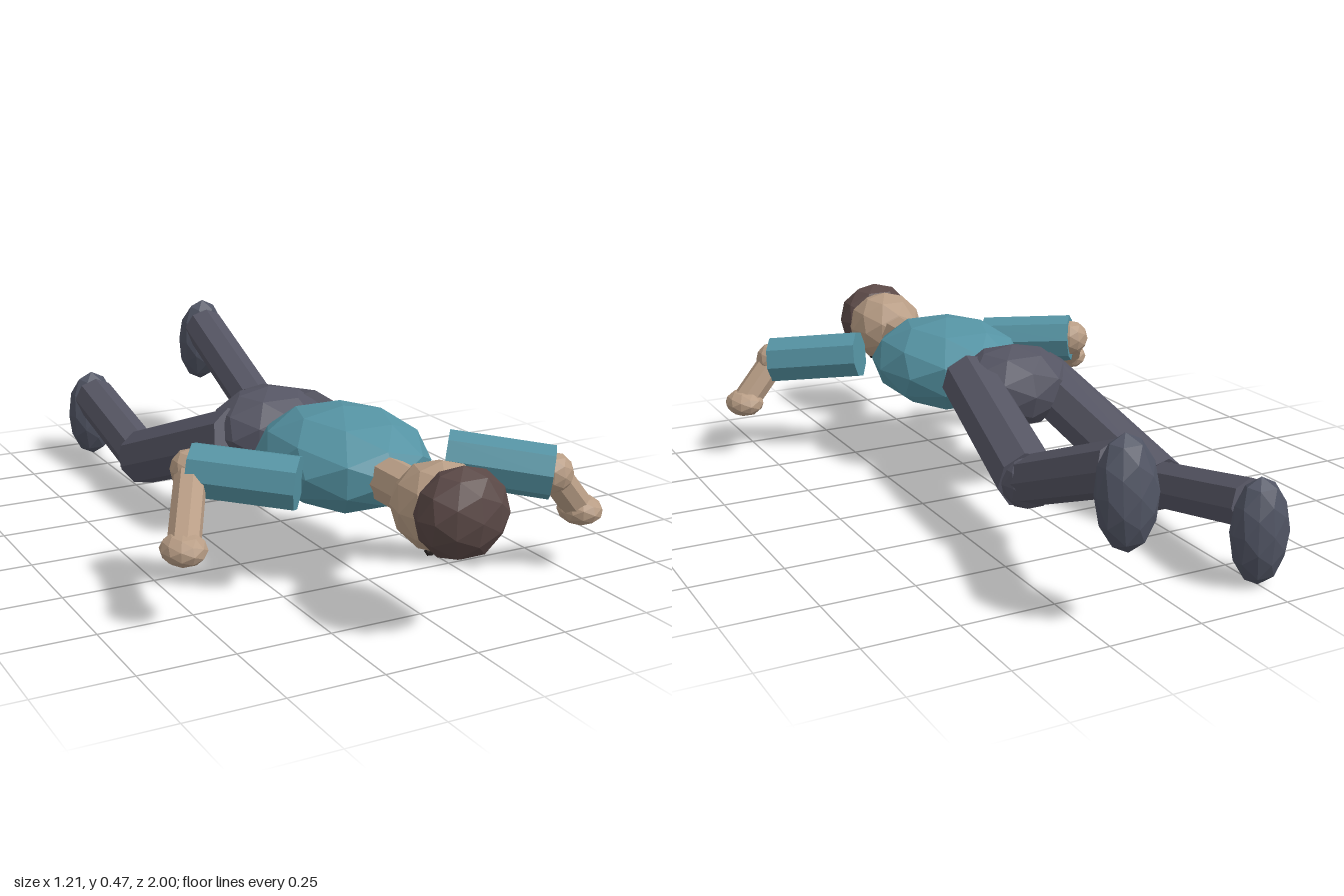
import * as THREE from 'three';

const mat = (name, color) => {
  const m = new THREE.MeshStandardMaterial({ color, flatShading: true });
  m.name = name;
  return m;
};

export function createModel() {
  const model = new THREE.Group();
  model.name = 'lyingFigure';

  const shirt = mat('teal shirt', 0x5593a3);
  const skin = mat('skin', 0xb89d85);
  const hair = mat('brown hair', 0x5a4846);
  const trousers = mat('grey trousers', 0x555563);
  const shoes = mat('slate shoes', 0x505463);
  const dark = mat('dark eyes', 0x2a2422);

  const V = (p) => new THREE.Vector3(...p);

  // faceted ellipsoid
  const blob = (name, material, centre, radii, detail = 1) => {
    const mesh = new THREE.Mesh(new THREE.IcosahedronGeometry(1, detail), material);
    mesh.name = name;
    mesh.position.set(...centre);
    mesh.scale.set(...radii);
    model.add(mesh);
    return mesh;
  };

  // eight-sided limb between two joints
  const limb = (name, material, from, to, radius) => {
    const a = V(from), b = V(to);
    const mesh = new THREE.Mesh(
      new THREE.CylinderGeometry(radius, radius, a.distanceTo(b), 8), material);
    mesh.name = name;
    mesh.position.copy(a).lerp(b, 0.5);
    mesh.quaternion.setFromUnitVectors(new THREE.Vector3(0, 1, 0), b.sub(a).normalize());
    model.add(mesh);
    return mesh;
  };

  // body
  blob('torso', shirt, [0, 0.3, 0.355], [0.22, 0.135, 0.27]);
  blob('pelvis', trousers, [-0.055, 0.298, 0.035], [0.175, 0.122, 0.145]);

  // head, lying face down
  limb('neck', skin, [0, 0.3, 0.55], [0, 0.3, 0.76], 0.06);
  blob('head', skin, [0, 0.305, 0.825], [0.117, 0.112, 0.135]);
  blob('hair', hair, [0, 0.315, 0.912], [0.122, 0.115, 0.088]);
  for (const s of [-1, 1]) {
    blob(s > 0 ? 'leftEye' : 'rightEye', dark, [0.04 * s, 0.205, 0.845], [0.014, 0.012, 0.014], 0);
  }

  // arms, each with its own pose
  const arms = [
    { side: 'left', shoulder: [0.22, 0.31, 0.515], elbow: [0.44, 0.28, 0.68], hand: [0.545, 0.16, 0.668] },
    { side: 'right', shoulder: [-0.215, 0.302, 0.515], elbow: [-0.43, 0.322, 0.345], hand: [-0.545, 0.2, 0.555] },
  ];
  for (const { side, shoulder, elbow, hand } of arms) {
    limb(side + 'UpperArm', shirt, shoulder, elbow, 0.072);
    blob(side + 'Elbow', skin, elbow, [0.055, 0.055, 0.055]);
    limb(side + 'Forearm', skin, elbow, hand, 0.042);
    blob(side + 'Hand', skin, hand, [0.058, 0.041, 0.066]);
  }

  // legs, knees bent with the feet raised behind
  const legs = [
    { side: 'left', hip: [0.06, 0.318, 0.075], knee: [0.16, 0.203, -0.455], ankle: [0.172, 0.385, -0.91], foot: [0.175, 0.333, -0.937], tilt: 0.09 },
    { side: 'right', hip: [-0.17, 0.3, 0.075], knee: [-0.255, 0.112, -0.425], ankle: [-0.25, 0.2, -0.85], foot: [-0.25, 0.14, -0.88], tilt: 0.03 },
  ];
  for (const { side, hip, knee, ankle, foot, tilt } of legs) {
    limb(side + 'Thigh', trousers, hip, knee, 0.083);
    blob(side + 'Knee', trousers, knee, [0.075, 0.075, 0.075]);
    limb(side + 'Shin', trousers, knee, ankle, 0.066);
    blob(side + 'Foot', shoes, foot, [0.08, 0.14, 0.061]).rotation.x = tilt;
  }

  return model;
}
